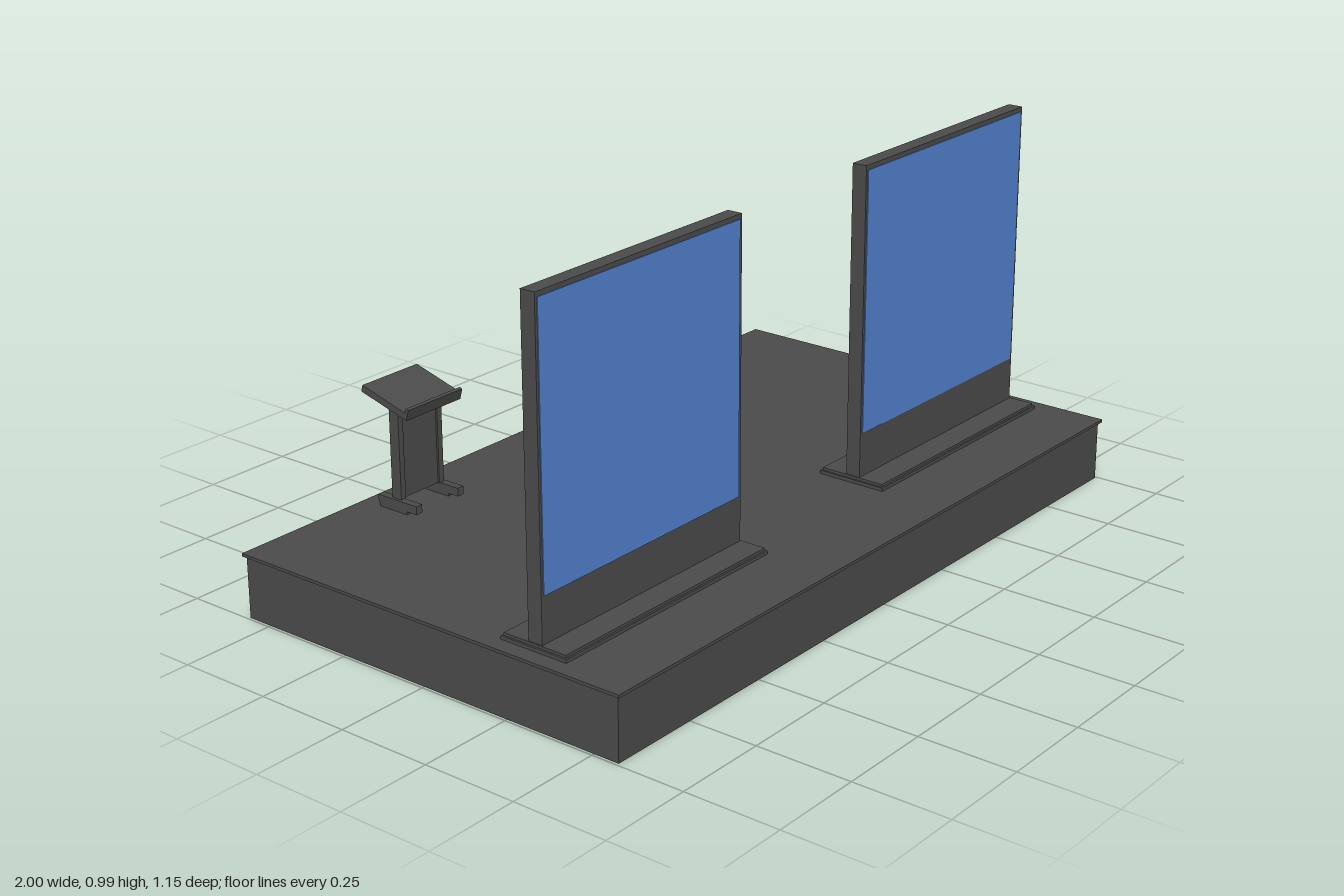
import * as THREE from 'three';

const charcoal = new THREE.MeshStandardMaterial({ color: 0x4b4b4b });
charcoal.name = 'charcoal';
const screenBlue = new THREE.MeshStandardMaterial({ color: 0x5282d0 });
screenBlue.name = 'screenBlue';

// Box given by its [min, max] range on each axis
function box(parent, name, [x0, x1], [y0, y1], [z0, z1], material = charcoal) {
  const mesh = new THREE.Mesh(new THREE.BoxGeometry(x1 - x0, y1 - y0, z1 - z0), material);
  mesh.position.set((x0 + x1) / 2, (y0 + y1) / 2, (z0 + z1) / 2);
  mesh.name = name;
  parent.add(mesh);
  return mesh;
}

function group(parent, name, x, y, z) {
  const g = new THREE.Group();
  g.name = name;
  g.position.set(x, y, z);
  parent.add(g);
  return g;
}

const FLOOR = 0.168;
const SLOPE = 0.27;

// Flat display panel on a wide foot, with a picture on both faces
function addScreen(parent, name, x) {
  const g = group(parent, name, x, FLOOR, 0.3);
  box(g, 'footPlate', [-0.36, 0.36], [0, 0.009], [-0.095, 0.095]);
  box(g, 'footTop', [-0.355, 0.355], [0.009, 0.016], [-0.09, 0.09]);
  box(g, 'panel', [-0.352, 0.352], [0.016, 0.824], [-0.02, 0.02]);
  for (const s of [-1, 1]) {
    const zs = [s * 0.02, s * 0.022].sort((a, b) => a - b);
    box(g, 'display', [-0.345, 0.343], [0.132, 0.812], zs, screenBlue);
  }
}

// Lectern with a solid front panel and a sloping reading top
function addPanelLectern(parent) {
  const g = group(parent, 'panelLectern', -0.515, FLOOR, -0.48);
  for (const s of [-1, 1]) {
    box(g, 'foot', [s * 0.073 - 0.01, s * 0.073 + 0.01], [0.008, 0.03], [-0.045, 0.083]);
    box(g, 'footPad', [s * 0.073 - 0.01, s * 0.073 + 0.01], [0, 0.008], [-0.04, 0.05]);
    box(g, 'sidePost', [s * 0.067 - 0.008, s * 0.067 + 0.008], [0.03, 0.272], [-0.005, 0.025]);
  }
  box(g, 'frontPanel', [-0.06, 0.06], [0.03, 0.268], [0, 0.02]);
  const top = box(g, 'readingTop', [-0.094, 0.094], [0.274, 0.292], [-0.077, 0.077]);
  top.rotation.x = SLOPE;
  const lip = box(g, 'pageLip', [-0.094, 0.094], [0.262, 0.284], [0.068, 0.077]);
  lip.rotation.x = SLOPE;
}

// Open-frame lectern: paired posts, cross ties and two sloping side rails
function addFrameLectern(parent) {
  const g = group(parent, 'frameLectern', 0.065, FLOOR, -0.48);
  box(g, 'basePlate', [-0.06, 0.06], [0, 0.015], [-0.04, 0.05]);
  for (const s of [-1, 1]) {
    const x = s * 0.045;
    box(g, 'foot', [x + s * 0.016 - 0.012, x + s * 0.016 + 0.012], [0.006, 0.026], [-0.045, 0.065]);
    box(g, 'frontPost', [x - 0.01, x + 0.01], [0.015, 0.275], [0, 0.028]);
    box(g, 'rearPost', [x - 0.008, x + 0.008], [0.015, 0.285], [-0.021, -0.008]);
    box(g, 'postTie', [x - 0.008, x + 0.008], [0.2, 0.21], [-0.021, 0.028]);
    const arm = box(g, 'arm', [s * 0.06 - 0.018, s * 0.06 + 0.018], [0.272, 0.29], [-0.025, 0.03]);
    arm.rotation.x = SLOPE;
    const rail = box(g, 'sideRail', [s * 0.074 - 0.007, s * 0.074 + 0.007], [0.274, 0.294], [-0.09, 0.076]);
    rail.rotation.x = SLOPE;
  }
  box(g, 'crossTie', [-0.045, 0.045], [0.2, 0.21], [-0.021, 0.028]);
}

export function createModel() {
  const model = new THREE.Group();
  model.name = 'stageWithScreens';

  // Stage platform with a thin overhanging deck
  box(model, 'stageBody', [-0.993, 0.993], [0, 0.16], [-0.569, 0.569]);
  box(model, 'stageDeck', [-1, 1], [0.16, FLOOR], [-0.577, 0.577]);

  addScreen(model, 'rightScreen', -0.598);
  addScreen(model, 'leftScreen', 0.596);
  addPanelLectern(model);
  addFrameLectern(model);
  return model;
}
